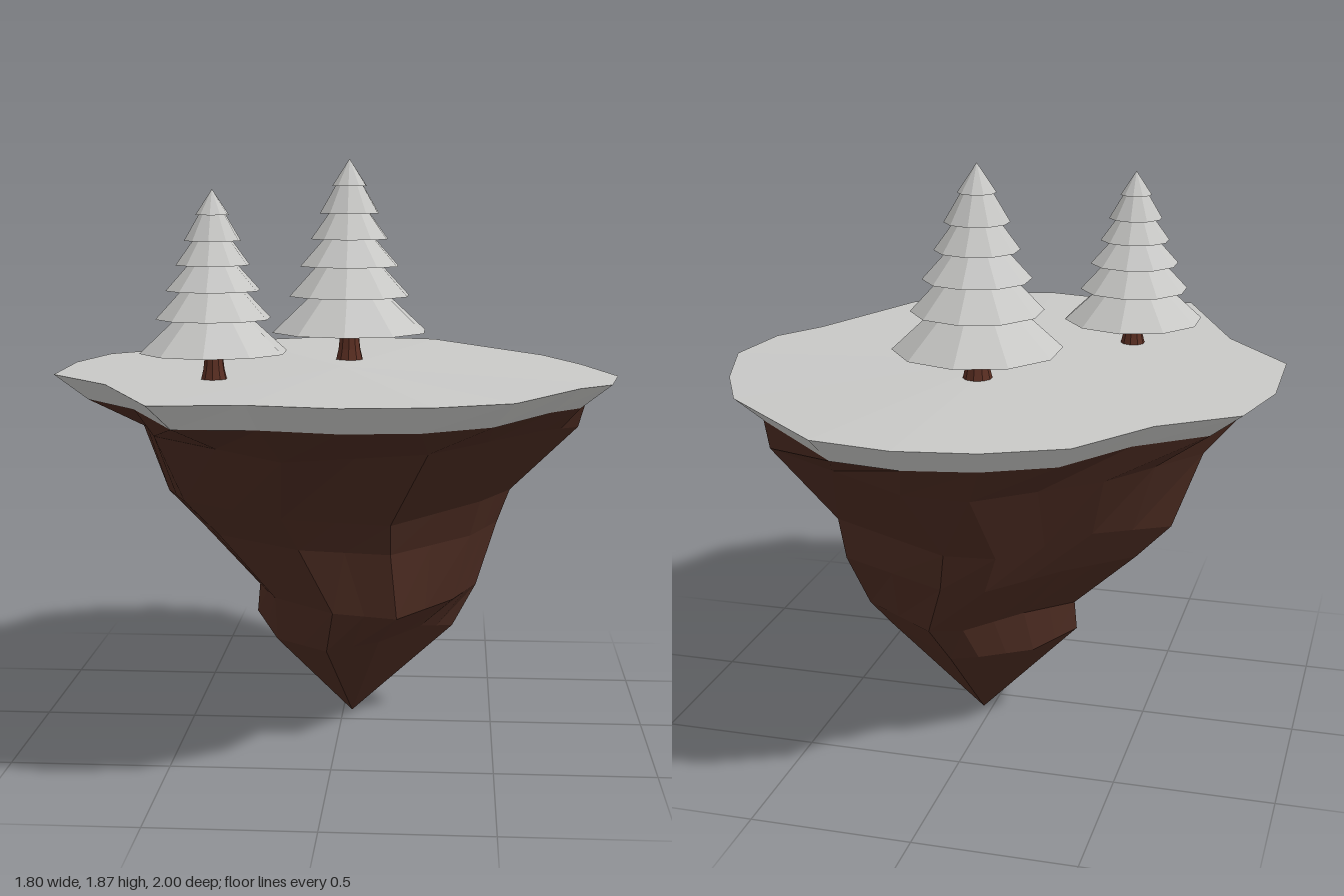
import * as THREE from 'three';

// Outline of the island top as [x, z], running back, left side, front, right side
const OUTLINE = [
  [0.04, -1.0], [0.29, -0.96], [0.68, -0.58], [0.80, -0.34], [0.90, -0.04],
  [0.86, 0.21], [0.75, 0.35], [0.54, 0.77], [0.31, 0.95], [0.06, 1.0],
  [-0.20, 0.95], [-0.47, 0.975], [-0.68, 0.49], [-0.90, 0.22], [-0.905, -0.14],
  [-0.84, -0.40], [-0.61, -0.58], [-0.43, -0.85], [-0.20, -0.96],
];
const N = OUTLINE.length;

// Rock cross-sections: height, x and z extents, then how far the corners
// (+x+z, -x+z, -x-z, +x-z) are pushed out or pulled in
const ROCK_RINGS = [
  [1.00, -0.70, 0.775, -0.83, 0.68, [1.0, 1.1, 1.0, 1.0]],
  [0.76, -0.61, 0.56, -0.645, 0.45, [1.0, 1.06, 0.95, 1.0]],
  [0.64, -0.51, 0.51, -0.61, 0.36, [1.0, 1.03, 0.88, 1.0]],
  [0.44, -0.30, 0.45, -0.50, 0.35, [0.9, 1.0, 0.92, 1.0]],
  [0.32, -0.29, 0.37, -0.40, 0.26, [0.72, 1.0, 1.0, 1.0]],
];

function seeded(seed) {
  return () => {
    seed = (seed * 16807) % 2147483647;
    return seed / 2147483647 - 0.5;
  };
}

// Fits the outline into the given extents
function fitRing([y, x0, x1, z0, z1]) {
  return OUTLINE.map(([x, z]) => new THREE.Vector3(
    THREE.MathUtils.mapLinear(x, -0.905, 0.9, x0, x1),
    y,
    THREE.MathUtils.mapLinear(z, -1, 1, z0, z1),
  ));
}

// Shapes the corners of a ring, roughens it and merges points in pairs into broad facets
function rockRing(section, random) {
  const ring = fitRing(section);
  const [, x0, x1, z0, z1, corners] = section;
  const cx = (x0 + x1) / 2;
  const cz = (z0 + z1) / 2;
  ring.forEach((p) => {
    const angle = Math.atan2(p.z - cz, p.x - cx);
    const quadrant = Math.floor((angle + 2 * Math.PI) / (Math.PI / 2)) % 4;
    const factor = 1 + (corners[quadrant] - 1) * Math.abs(Math.sin(2 * angle));
    p.x = cx + (p.x - cx) * factor;
    p.z = cz + (p.z - cz) * factor;
  });
  for (let i = 0; i < N; i += 2) {
    ring[i].x *= 1 + random() * 0.04;
    ring[i].z += random() * 0.02;
    ring[i].y += random() * 0.04;
  }
  for (let i = 1; i < N; i += 2) {
    ring[i].lerpVectors(ring[i - 1], ring[(i + 1) % N], 0.5);
  }
  return ring;
}

// Joins rings from top to bottom, optionally closing them with a point
function skin(rings, topPoint, bottomPoint) {
  const points = [];
  for (let i = 0; i < N; i++) {
    const j = (i + 1) % N;
    if (topPoint) points.push(topPoint, rings[0][j], rings[0][i]);
    for (let r = 0; r < rings.length - 1; r++) {
      const [a, b, c, d] = [rings[r][i], rings[r][j], rings[r + 1][i], rings[r + 1][j]];
      points.push(a, b, d, a, d, c);
    }
    const last = rings[rings.length - 1];
    if (bottomPoint) points.push(last[i], last[j], bottomPoint);
  }
  const geometry = new THREE.BufferGeometry().setFromPoints(points);
  geometry.computeVertexNormals();
  return geometry;
}

// Flat-shaded lathe with ten sides
function facetedLathe(profile) {
  const points = profile.map(([r, y]) => new THREE.Vector2(r, y));
  const flat = new THREE.LatheGeometry(points, 10).toNonIndexed();
  flat.computeVertexNormals();
  return flat;
}

function part(name, geometry, material) {
  const mesh = new THREE.Mesh(geometry, material);
  mesh.name = name;
  return mesh;
}

// Conifer with its base at the origin
function makeTree(name, foliageMaterial, barkMaterial) {
  const tree = new THREE.Group();
  tree.name = name;

  // Trunk flaring at the foot
  const trunkProfile = [[0.05, -0.01], [0.038, 0.04], [0.028, 0.13]];
  tree.add(part('trunk', facetedLathe(trunkProfile), barkMaterial));

  // Each tier flares outwards: bottom height, bottom radius, top radius
  const tiers = [
    [0.10, 0.267, 0.12], [0.22, 0.208, 0.10], [0.32, 0.17, 0.075],
    [0.41, 0.133, 0.06], [0.495, 0.102, 0.04], [0.585, 0.06, 0.0],
  ];
  const profile = [[0, 0.11]];
  tiers.forEach(([y, bottom, top], i) => {
    const next = i < tiers.length - 1 ? tiers[i + 1][0] + 0.015 : 0.675;
    profile.push([bottom, y], [top + (bottom - top) * 0.5, y + (next - y) * 0.5], [top, next]);
  });
  tree.add(part('foliage', facetedLathe(profile), foliageMaterial));
  return tree;
}

export function createModel() {
  const model = new THREE.Group();
  model.name = 'floatingIsland';

  const grey = new THREE.MeshStandardMaterial({ color: 0xc8c8c6 });
  grey.name = 'snow grey';
  const rock = new THREE.MeshStandardMaterial({ color: 0x4b2b21 });
  rock.name = 'rock brown';
  const bark = new THREE.MeshStandardMaterial({ color: 0x5a2e22 });
  bark.name = 'bark brown';

  // Ground slab with a bevelled rim that dips on the left side
  const topRing = OUTLINE.map(([x, z]) =>
    new THREE.Vector3(x, 1.195 - 0.045 * Math.max(0, x - 0.25) - 0.015 * Math.max(0, -x - 0.4), z));
  const rimRing = fitRing([1.095, -0.80, 0.80, -0.92, 0.92]);
  rimRing.forEach((p) => { p.y += 0.02 * Math.abs(p.z) - 0.01 * p.x; });
  model.add(part('ground', skin([topRing, rimRing], new THREE.Vector3(0, 1.195, 0)), grey));

  // Rock tapering to a point
  const random = seeded(4711);
  const rockRings = ROCK_RINGS.map((section) => rockRing(section, random));
  model.add(part('rock', skin([rimRing, ...rockRings], null, new THREE.Vector3(0.03, 0, -0.10)), rock));

  // Trees
  const tallTree = makeTree('tallTree', grey, bark);
  tallTree.position.set(0.012, 1.19, -0.225);
  const smallTree = makeTree('smallTree', grey, bark);
  smallTree.position.set(-0.37, 1.19, 0.345);
  smallTree.scale.setScalar(0.86);
  model.add(tallTree, smallTree);

  return model;
}
